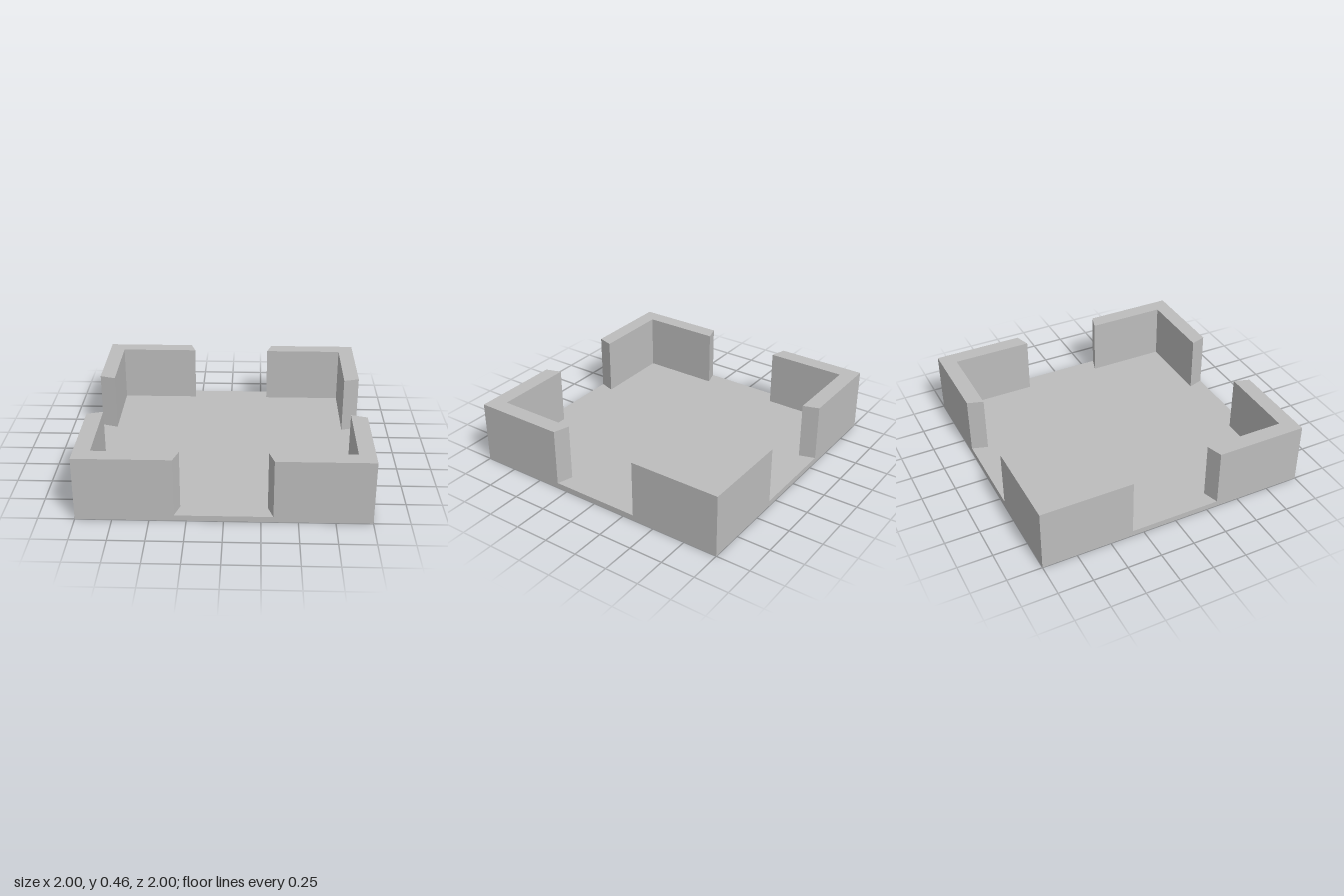
import * as THREE from 'three';

export function createModel() {
  const model = new THREE.Group();
  model.name = 'cornerTray';

  const grey = new THREE.MeshStandardMaterial({ color: 0xbcbcbc });
  grey.name = 'plain grey';

  const floorTop = 0.04, wallTop = 0.46;
  const outer = 1, inner = 0.885;       // wall faces
  const endOuter = 0.333, endInner = 0.297; // slanted wall ends

  // Square base plate
  const base = new THREE.Mesh(new THREE.BoxGeometry(2, floorTop, 2), grey);
  base.name = 'basePlate';
  base.position.y = floorTop / 2;
  model.add(base);

  // L-shaped corner wall with slanted ends, extruded upwards
  const outline = new THREE.Shape([
    [endOuter, outer], [endInner, inner], [inner, inner],
    [inner, endInner], [outer, endOuter], [outer, outer],
  ].map(([x, y]) => new THREE.Vector2(x, y)));
  const wallGeometry = new THREE.ExtrudeGeometry(outline, {
    depth: wallTop - floorTop, bevelEnabled: false,
  });
  wallGeometry.rotateX(-Math.PI / 2);

  // The same wall turned onto each corner
  const names = ['backLeft', 'backRight', 'frontRight', 'frontLeft'];
  names.forEach((name, i) => {
    const wall = new THREE.Mesh(wallGeometry, grey);
    wall.name = name + 'CornerWall';
    wall.position.y = floorTop;
    wall.rotation.y = i * Math.PI / 2;
    model.add(wall);
  });

  return model;
}
